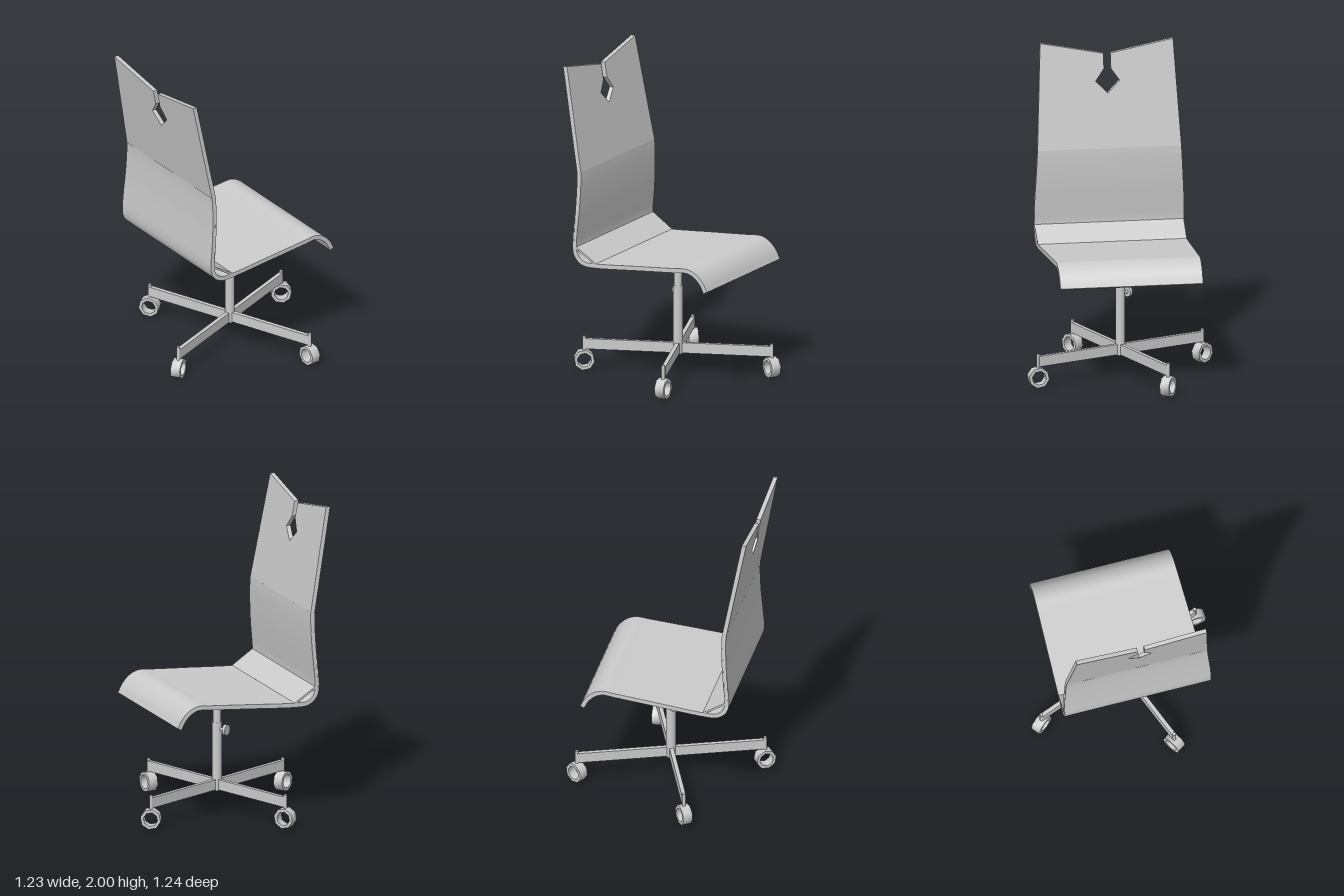
import * as THREE from 'three';
import { toCreasedNormals } from 'three/addons/utils/BufferGeometryUtils.js';

const T = 0.028; // shell thickness
const material = new THREE.MeshStandardMaterial({ color: 0xcccccc, side: THREE.DoubleSide });

function add(parent, name, geometry, x = 0, y = 0, z = 0) {
  const mesh = new THREE.Mesh(geometry, material);
  mesh.name = name;
  mesh.position.set(x, y, z);
  parent.add(mesh);
  return mesh;
}

// Half width of the shell: the seat narrows forwards, the back narrows upwards
function halfWidth(y, z) {
  if (y > 1) return 0.47 - 0.052 * (y - 1);
  return 0.47 - 0.022 * THREE.MathUtils.clamp((0.43 - z) / 0.9, 0, 1);
}

// Band of even thickness along a (z, y) centreline, as wide as the shell
function band(points, thickness) {
  const left = [], right = [];
  points.forEach((p, i) => {
    const a = points[Math.max(i - 1, 0)], b = points[Math.min(i + 1, points.length - 1)];
    const d = b.clone().sub(a).normalize().multiplyScalar(thickness / 2);
    left.push(new THREE.Vector2(p.x - d.y, p.y + d.x));
    right.unshift(new THREE.Vector2(p.x + d.y, p.y - d.x));
  });
  const g = new THREE.ExtrudeGeometry(new THREE.Shape([...left, ...right]), { depth: 2, bevelEnabled: false });
  g.translate(0, 0, -1);
  g.rotateY(-Math.PI / 2);
  const pos = g.attributes.position;
  for (let i = 0; i < pos.count; i++) pos.setX(i, pos.getX(i) * halfWidth(pos.getY(i), pos.getZ(i)));
  return toCreasedNormals(g, 0.6);
}

// Upper back: flat panel with a sloped top edge and a keyhole slot, leaned backwards
function upperBack() {
  const y0 = 1.34, w = halfWidth(y0, 0);
  const half = [[w, y0], [0.418, 2], [0.022, 1.925], [0.022, 1.83], [0.076, 1.755]];
  const outline = [...half, [0, 1.68], ...half.map(([x, y]) => [-x, y]).reverse()];
  const shape = new THREE.Shape(outline.map(([x, y]) => new THREE.Vector2(x, y)));
  const g = new THREE.ExtrudeGeometry(shape, { depth: T, bevelEnabled: false });
  const pos = g.attributes.position;
  for (let i = 0; i < pos.count; i++) {
    pos.setZ(i, pos.getZ(i) - T / 2 + 0.448 + (pos.getY(i) - y0) * 0.182);
  }
  g.computeVertexNormals();
  return toCreasedNormals(g, 0.6);
}

// Hollow caster wheel with its axis along z
function wheelGeometry() {
  const ring = [[0.045, -0.031], [0.065, -0.031], [0.065, 0.031], [0.045, 0.031], [0.045, -0.031]];
  const g = new THREE.LatheGeometry(ring.map(([r, y]) => new THREE.Vector2(r, y)), 8);
  g.rotateX(Math.PI / 2);
  return toCreasedNormals(g, 0.9);
}

export function createModel() {
  const model = new THREE.Group();
  model.name = 'swivelChair';

  // Shell
  const shell = new THREE.Group();
  shell.name = 'shell';
  model.add(shell);
  const centreline = [
    [0.448, 1.34], [0.446, 1.28], [0.451, 1.12], [0.462, 0.98], [0.47, 0.87], [0.463, 0.82],
    [0.44, 0.785], [0.4, 0.762], [0.34, 0.758], [0, 0.785], [-0.25, 0.806], [-0.33, 0.812],
    [-0.385, 0.79], [-0.43, 0.745], [-0.46, 0.69],
  ].map(([z, y]) => new THREE.Vector3(z, y, 0));
  const curve = new THREE.CatmullRomCurve3(centreline);
  add(shell, 'seatAndLowerBack', band(curve.getPoints(70).map((p) => new THREE.Vector2(p.x, p.y)), T));
  add(shell, 'upperBack', upperBack());
  add(shell, 'bendBrace', band([new THREE.Vector2(0.464, 0.862), new THREE.Vector2(0.32, 0.768)], 0.012));

  // Shallow dish under the seat
  const dish = add(model, 'seatDish', new THREE.CylinderGeometry(0.25, 0.05, 0.045, 40), 0, 0.744, 0.03);
  dish.rotation.x = 0.08;

  // Column
  const column = new THREE.Group();
  column.name = 'column';
  model.add(column);
  add(column, 'collar', new THREE.CylinderGeometry(0.04, 0.04, 0.05, 24), 0, 0.7, 0);
  add(column, 'innerTube', new THREE.CylinderGeometry(0.026, 0.026, 0.16, 24), 0, 0.62, 0);
  add(column, 'outerTube', new THREE.CylinderGeometry(0.03, 0.03, 0.44, 24), 0, 0.35, 0);

  // Height knob
  const knob = new THREE.Group();
  knob.name = 'heightKnob';
  knob.position.set(0, 0.525, 0);
  knob.rotation.y = Math.PI + 0.6;
  column.add(knob);
  add(knob, 'knobStem', new THREE.CylinderGeometry(0.012, 0.012, 0.06, 12).rotateZ(Math.PI / 2), 0.04, 0, 0);
  add(knob, 'knobHead', new THREE.CylinderGeometry(0.034, 0.034, 0.02, 12).rotateZ(Math.PI / 2), 0.065, 0, 0);

  // Four arms with casters, each wheel swivelled its own way
  const radius = 0.59, start = -0.375;
  const swivels = [-5, 56, -38, -58];
  const wheel = wheelGeometry();
  swivels.forEach((degrees, i) => {
    const angle = start + [0, 1, 2, 3][i] * Math.PI / 2;
    const x = radius * Math.cos(angle), z = radius * Math.sin(angle);
    const arm = add(model, 'baseArm', new THREE.BoxGeometry(radius, 0.066, 0.026), x / 2, 0.168, z / 2);
    arm.rotation.y = -angle;
    const caster = new THREE.Group();
    caster.name = 'caster';
    caster.position.set(x, 0, z);
    caster.rotation.y = -THREE.MathUtils.degToRad(degrees);
    model.add(caster);
    add(caster, 'casterPin', new THREE.CylinderGeometry(0.011, 0.011, 0.095, 12), 0, 0.168, 0);
    add(caster, 'casterWheel', wheel, 0, 0.066, 0).rotation.z = 0.2;
  });
  return model;
}
